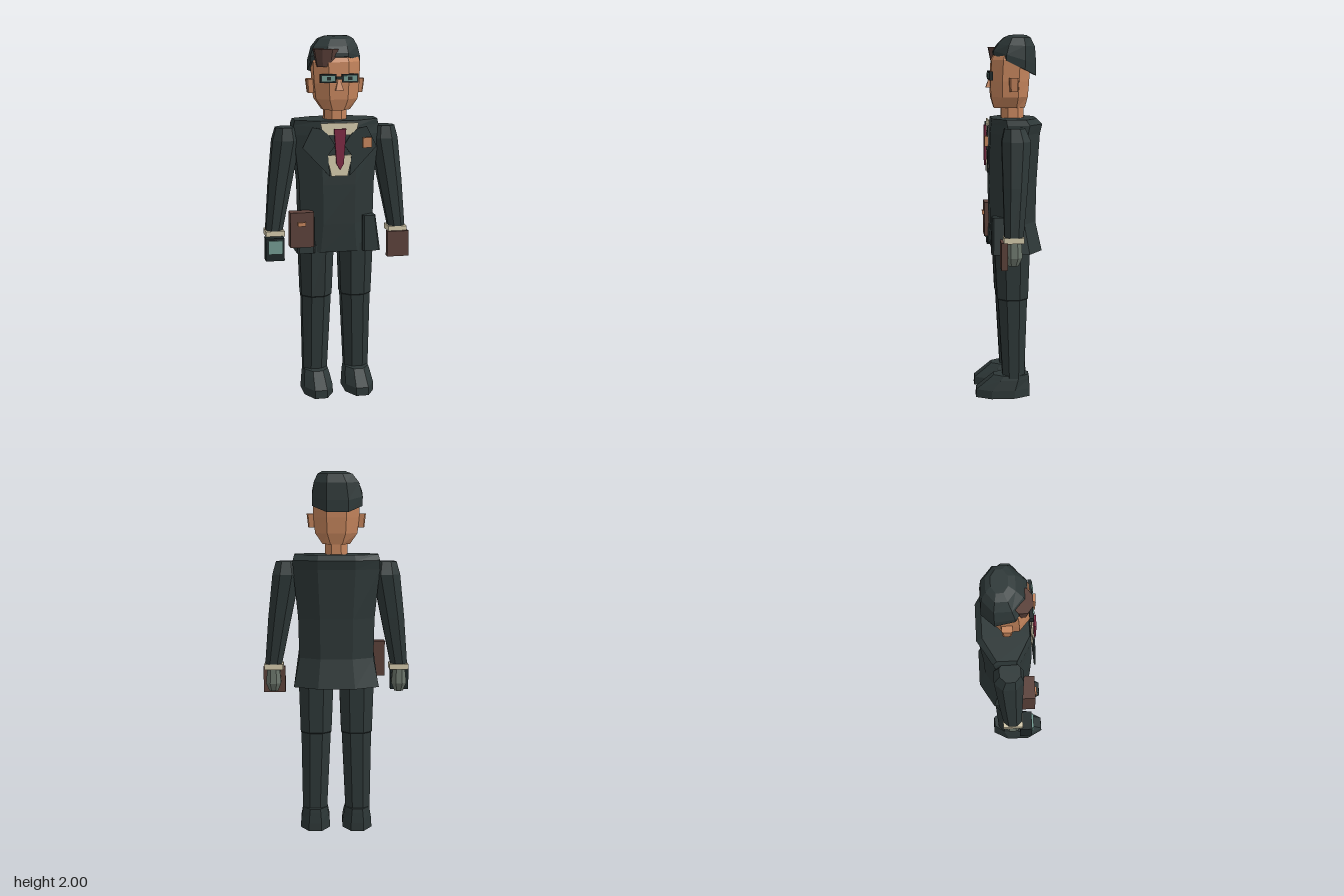
import * as THREE from 'three';

const mat = (name, color) => {
  const m = new THREE.MeshStandardMaterial({ color });
  m.name = name;
  m.flatShading = true;
  return m;
};

// Octagonal loft; rings run bottom to top as [y, centreX, halfWidth, zFront, zBack, tilt = dy/dz]
function loft(rings, f = 0.43) {
  const unit = [[-f, 1], [f, 1], [1, f], [1, -f], [f, -1], [-f, -1], [-1, -f], [-1, f]];
  const pts = rings.map(([y, cx, hw, zf, zb, tilt = 0]) => unit.map(([u, v]) => {
    const z = (zf + zb) / 2 + v * (zf - zb) / 2;
    return [cx + u * hw, y + tilt * z, z];
  }));
  const pos = [];
  const tri = (...c) => c.forEach(p => pos.push(...p));
  for (let r = 0; r < pts.length - 1; r++) {
    for (let i = 0; i < 8; i++) {
      const j = (i + 1) % 8, a = pts[r], b = pts[r + 1];
      tri(a[i], a[j], b[j]);
      tri(a[i], b[j], b[i]);
    }
  }
  const lo = pts[0], hi = pts[pts.length - 1];
  for (let i = 1; i < 7; i++) {
    tri(hi[0], hi[i], hi[i + 1]);
    tri(lo[0], lo[i + 1], lo[i]);
  }
  const g = new THREE.BufferGeometry();
  g.setAttribute('position', new THREE.Float32BufferAttribute(pos, 3));
  g.computeVertexNormals();
  return g;
}

// Box given by its extents
function box(x0, x1, y0, y1, z0, z1) {
  return new THREE.BoxGeometry(Math.abs(x1 - x0), y1 - y0, z1 - z0)
    .translate((x0 + x1) / 2, (y0 + y1) / 2, (z0 + z1) / 2);
}

// Thin plate facing the front
function plate(points, z, depth = 0.008) {
  const shape = new THREE.Shape(points.map(p => new THREE.Vector2(...p)));
  return new THREE.ExtrudeGeometry(shape, { depth, bevelEnabled: false }).translate(0, 0, z);
}

export function createModel() {
  const model = new THREE.Group();
  model.name = 'suitedMan';
  const suit = mat('suit charcoal', 0x2d3737), skin = mat('skin', 0xc4845c);
  const brown = mat('brown leather', 0x5a4039), cream = mat('shirt cream', 0xd2c8aa);
  const red = mat('tie burgundy', 0x7a2842), teal = mat('glass teal', 0x71988f);
  const glove = mat('glove grey', 0x697369), black = mat('frame black', 0x1d2728);
  const add = (name, geometry, material) => {
    const mesh = new THREE.Mesh(geometry, material);
    mesh.name = name;
    model.add(mesh);
    return mesh;
  };

  // Jacket body
  add('jacket', loft([
    [0.82, 0, 0.235, 0.09, -0.185], [0.98, 0, 0.205, 0.1, -0.15],
    [1.2, 0, 0.21, 0.105, -0.155], [1.47, 0, 0.238, 0.1, -0.172],
    [1.52, 0, 0.238, 0.095, -0.185], [1.55, 0, 0.23, 0.09, -0.155],
  ]), suit);

  // Shirt, tie and pocket square
  add('shirtCollar', plate([[-0.105, 1.54], [-0.09, 1.475], [0.09, 1.475], [0.105, 1.54]], 0.103), cream);
  add('shirtFront', plate([[-0.07, 1.365], [-0.045, 1.25], [0.045, 1.25], [0.07, 1.365]], 0.105), cream);
  add('tie', plate([[-0.033, 1.51], [-0.02, 1.32], [0, 1.285], [0.02, 1.32], [0.033, 1.51]], 0.117, 0.012), red);
  add('pocketSquare', box(0.125, 0.175, 1.405, 1.46, 0.117, 0.135), skin);

  for (const s of [1, -1]) {
    const side = s > 0 ? 'left' : 'right';

    // Lapel and jacket side panel
    add(side + 'Lapel', plate([[0.1, 1.51], [0.15, 1.52], [0.205, 1.41], [0.055, 1.25], [0.065, 1.365], [0.025, 1.42], [0.06, 1.475]]
      .map(([x, y]) => [s * x, y]), 0.108), suit);
    add(side + 'JacketFlap', loft([
      [0.82, s * 0.185, 0.05, 0.1, 0], [1.02, s * 0.172, 0.036, 0.095, 0],
    ], 0.8), suit);

    // Arm, cuff and hand
    add(side + 'Arm', loft([
      [0.93, s * 0.35, 0.046, 0.04, -0.06], [1.2, s * 0.312, 0.064, 0.045, -0.085],
      [1.44, s * 0.275, 0.076, 0.05, -0.105], [1.51, s * 0.275, 0.057, 0.035, -0.075],
    ]), suit);
    add(side + 'Cuff', box(s * 0.295, s * 0.4, 0.91, 0.94, -0.063, 0.045), cream);
    add(side + 'Hand', loft([
      [0.785, s * 0.35, 0.024, 0.02, -0.035], [0.83, s * 0.35, 0.042, 0.035, -0.055],
      [0.915, s * 0.35, 0.034, 0.03, -0.05],
    ]), glove);

    // Leg and shoe
    add(side + 'Leg', loft([
      [0.11, s * 0.12, 0.068, 0.035, -0.085], [0.555, s * 0.113, 0.082, 0.06, -0.1],
      [0.56, s * 0.113, 0.086, 0.065, -0.105], [0.86, s * 0.112, 0.097, 0.08, -0.115],
    ]), suit);
    add(side + 'Shoe', loft([
      [0, s * 0.118, 0.082, 0.185, -0.115], [0.045, s * 0.118, 0.081, 0.182, -0.115],
      [0.1, s * 0.118, 0.072, 0.115, -0.112], [0.125, s * 0.118, 0.066, 0.085, -0.11],
    ]), suit);

    // Ear
    add(side + 'Ear', loft([
      [1.695, s * 0.135, 0.018, -0.005, -0.05], [1.77, s * 0.138, 0.024, 0, -0.055],
    ], 0.7), skin);

    // Spectacles: frame, lens, pupil and temple arm
    add(side + 'GlassesFrame', box(s * 0.015, s * 0.105, 1.757, 1.803, 0.085, 0.104), black);
    add(side + 'Lens', box(s * 0.024, s * 0.096, 1.766, 1.794, 0.102, 0.108), teal);
    add(side + 'Pupil', box(s * 0.046, s * 0.07, 1.77, 1.79, 0.106, 0.11), black);
  }
  add('glassesBridge', box(-0.018, 0.018, 1.775, 1.79, 0.09, 0.108), black);

  // Neck and head
  add('neck', loft([[1.54, 0, 0.062, 0.035, -0.09], [1.63, 0, 0.06, 0.035, -0.09]]), skin);
  add('head', loft([
    [1.605, 0, 0.075, 0.075, -0.095], [1.665, 0, 0.116, 0.092, -0.11],
    [1.75, 0, 0.125, 0.095, -0.117], [1.865, 0, 0.13, 0.088, -0.12], [1.89, 0, 0.12, 0.075, -0.11],
  ]), skin);

  // Nose
  const nose = new THREE.CylinderGeometry(0.008, 0.026, 0.055, 4, 1);
  add('nose', nose.rotateY(Math.PI / 4).scale(1.2, 1, 1.5).translate(0, 1.743, 0.091), skin);

  // Swept cap of hair with a slanted hairline
  add('hair', loft([
    [1.855, -0.005, 0.137, 0.08, -0.155, 0.48], [1.89, -0.005, 0.138, 0.078, -0.155, 0.3],
    [1.945, 0, 0.122, 0.055, -0.148, 0.05], [1.985, 0.008, 0.095, 0.02, -0.125], [2, 0.015, 0.062, -0.015, -0.1],
  ]), suit);

  // Raised forelock
  add('forelock', loft([
    [1.84, -0.065, 0.048, 0.083, 0.02], [1.875, -0.065, 0.055, 0.09, 0.015], [1.935, -0.065, 0.066, 0.102, 0],
  ]), brown);

  // Belt pouch with clasp
  add('pouch', box(-0.275, -0.145, 0.86, 1.055, 0.05, 0.12), brown);
  add('pouchClasp', box(-0.235, -0.19, 0.98, 1.002, 0.119, 0.13), skin);

  // Handheld device in the right hand
  add('device', box(-0.408, -0.305, 0.785, 0.912, 0.03, 0.097), black);
  add('deviceScreen', box(-0.395, -0.315, 0.825, 0.9, 0.096, 0.107), teal);

  // Wallet in the left hand
  add('wallet', box(0.285, 0.408, 0.77, 0.915, 0.025, 0.06), brown);

  return model;
}
